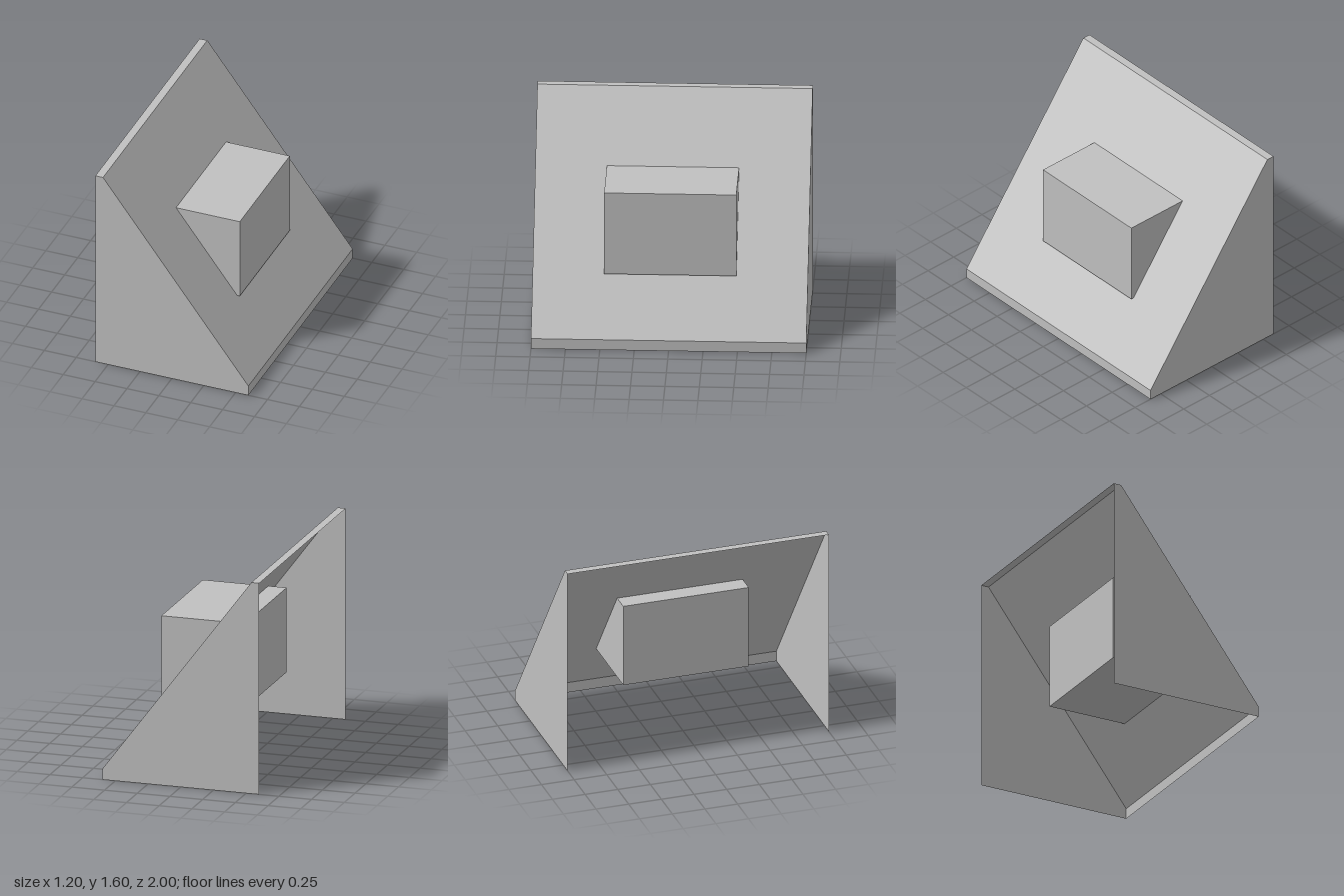
import * as THREE from 'three';

export function createModel() {
  const group = new THREE.Group();
  const grey = new THREE.MeshStandardMaterial({ color: 0xc0c0c0, side: THREE.DoubleSide });
  grey.name = 'light grey';
  const add = (name, geometry, x = 0, y = 0, z = 0) => {
    const mesh = new THREE.Mesh(geometry, grey);
    mesh.name = name;
    mesh.position.set(x, y, z);
    group.add(mesh);
    return mesh;
  };

  const depth = 2;
  // Upper edge of the housing, from the back top down to the front foot
  const edge = [[-0.6, 1.6], [-0.54, 1.6], [0.6, 0.08], [0.6, 0]];

  // Thin side panels; the housing is open at the bottom and at -x
  const outline = [[-0.6, 0], [0.6, 0], [0.6, 0.08], [-0.54, 1.6], [-0.6, 1.6]];
  const shape = new THREE.Shape(outline.map(([x, y]) => new THREE.Vector2(x, y)));
  add('frontSidePanel', new THREE.ShapeGeometry(shape), 0, 0, depth / 2);
  add('backSidePanel', new THREE.ShapeGeometry(shape), 0, 0, -depth / 2).rotation.y = Math.PI;
  group.children[1].scale.x = -1; // mirrored so the tall edge stays at -x

  // Top ledge, sloping panel and foot lip: one thin sheet per edge segment
  ['topLedge', 'slopingPanel', 'footLip'].forEach((name, i) => {
    const [x0, y0] = edge[i], [x1, y1] = edge[i + 1];
    const sheet = new THREE.PlaneGeometry(Math.hypot(x1 - x0, y1 - y0), depth);
    sheet.rotateX(-Math.PI / 2);
    sheet.rotateZ(Math.atan2(y1 - y0, x1 - x0));
    add(name, sheet, (x0 + x1) / 2, (y0 + y1) / 2, 0);
  });

  // Block passing through the sloping panel
  add('block', new THREE.BoxGeometry(0.64, 0.64, 0.96), 0, 0.8, 0);

  return group;
}
